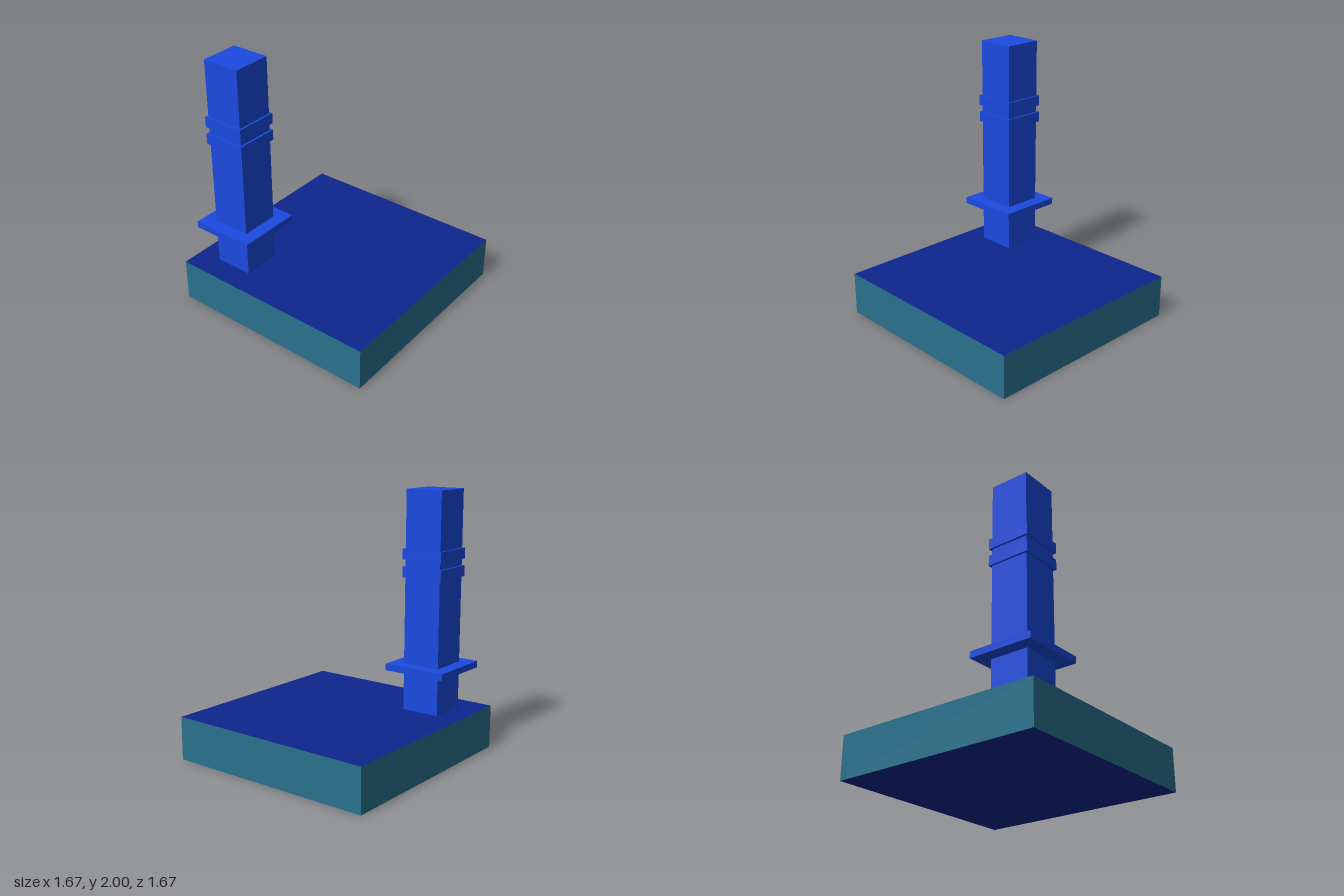
import * as THREE from 'three';

const paint = (color) => new THREE.MeshStandardMaterial({ color });

// Square block of given width, spanning bottom to top in y
function block(name, width, bottom, top, material) {
  const mesh = new THREE.Mesh(new THREE.BoxGeometry(width, top - bottom, width), material);
  mesh.name = name;
  mesh.position.y = (bottom + top) / 2;
  return mesh;
}

export function createModel() {
  const model = new THREE.Group();
  model.name = 'towerOnSlab';

  const blue = paint(0x1a4ae0);
  const navy = paint(0x0d268f);
  const teal = paint(0x2a728e);

  // Slab: teal sides, navy top and underside
  model.add(block('slab', 1.667, 0, 0.333, [teal, teal, navy, navy, teal, teal]));

  // Tower on the back right corner
  const tower = new THREE.Group();
  tower.name = 'tower';
  tower.position.set(-0.5, 0, -0.5);
  tower.add(block('column', 0.3, 0.333, 2, blue));
  tower.add(block('platform', 0.5, 0.643, 0.693, blue));

  // Pair of bands around the upper column
  for (const [name, bottom] of [['lowerBand', 1.35], ['upperBand', 1.483]]) {
    tower.add(block(name, 0.333, bottom, bottom + 0.08, blue));
  }
  model.add(tower);

  return model;
}
